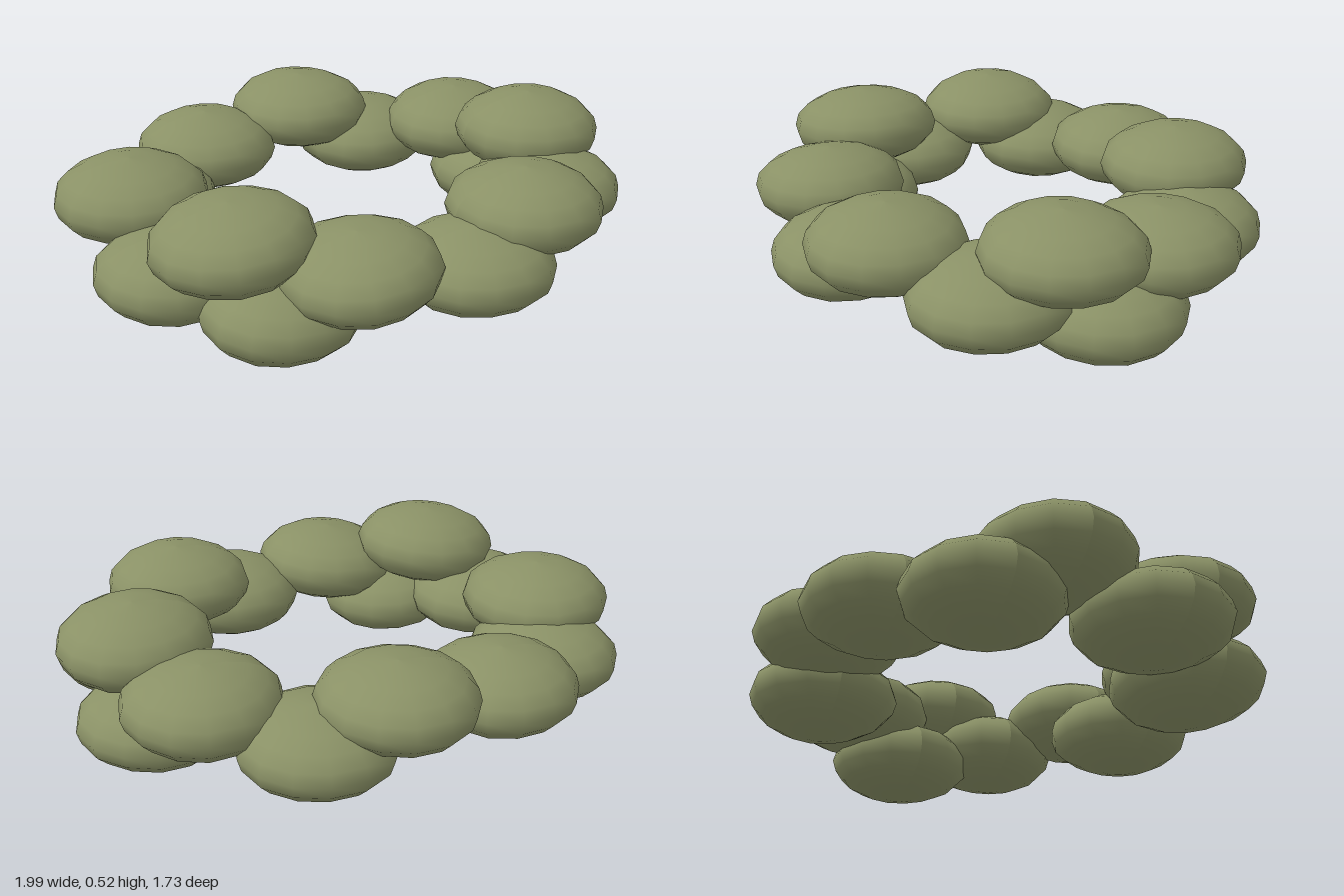
import * as THREE from 'three';

// Each bag: centre x, y, z and a slight sideways tilt
const BAGS = [
  // lower course
  [0.31, 0.215, -0.555, 0],
  [0.71, 0.165, -0.13, 0],
  [0.69, 0.245, 0.23, 0],
  [0.21, 0.21, 0.59, 0],
  [-0.43, 0.145, 0.51, -0.06],
  [-0.69, 0.20, 0.24, 0],
  [-0.65, 0.20, -0.31, 0],
  // upper course
  [0.06, 0.34, -0.605, 0],
  [0.61, 0.305, -0.335, 0],
  [0.73, 0.385, 0.015, 0],
  [0.44, 0.335, 0.50, 0],
  [-0.20, 0.28, 0.60, 0.07],
  [-0.55, 0.365, 0.42, 0.08],
  [-0.735, 0.32, -0.11, 0],
  [-0.345, 0.265, -0.54, 0],
];

export function createModel() {
  const group = new THREE.Group();
  group.name = 'sandbagRing';
  const olive = new THREE.MeshStandardMaterial({ color: 0x8a9166 });
  olive.name = 'olive canvas';

  // Stuffed bag: a flattened sphere with a few soft lumps
  const makeBag = (seed) => {
    const geo = new THREE.SphereGeometry(1, 14, 10);
    const p = geo.attributes.position;
    const v = new THREE.Vector3();
    for (let i = 0; i < p.count; i++) {
      v.fromBufferAttribute(p, i);
      const lump = 1 + 0.02 * Math.sin(3 * v.x + seed) * Math.cos(3 * v.z + 2 * seed);
      p.setXYZ(i, v.x * 0.264 * lump, v.y * 0.137 * lump, v.z * 0.264 * lump);
    }
    geo.computeVertexNormals();
    return geo;
  };

  BAGS.forEach(([x, y, z, tilt], i) => {
    const bag = new THREE.Mesh(makeBag(i * 1.7), olive);
    bag.name = `sandbag${i + 1}`;
    bag.position.set(x, y, z);
    bag.rotation.z = tilt;
    group.add(bag);
  });
  return group;
}
